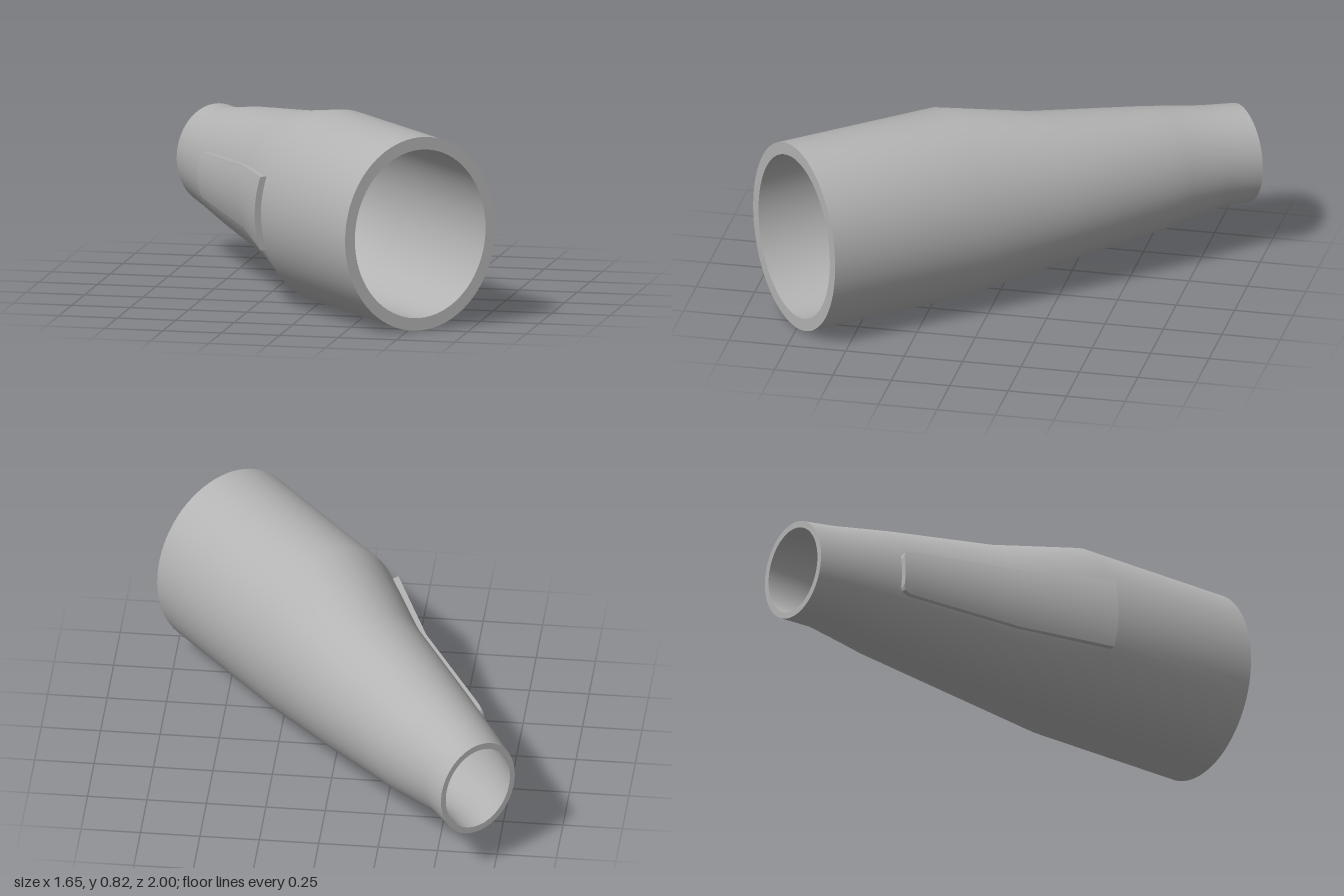
import * as THREE from 'three';
import { toCreasedNormals } from 'three/addons/utils/BufferGeometryUtils.js';

// Tube sections, back to front: [z, sideways centre, half width, half height]
const SECTIONS = [
  [-2.05, 0.147, 0.188, 0.215],
  [-1.905, 0.120, 0.196, 0.224],
  [-1.72, 0.109, 0.222, 0.256],
  [-1.63, 0.105, 0.237, 0.271],
  [-1.13, 0.066, 0.294, 0.338],
  [-0.734, 0, 0.358, 0.411],
  [0, 0, 0.358, 0.411],
];
const BORE = 0.87; // bore size relative to the outside

// Section of the tube at any z, by straight interpolation
function sectionAt(z) {
  let i = 0;
  while (i < SECTIONS.length - 2 && z > SECTIONS[i + 1][0]) i++;
  const a = SECTIONS[i], b = SECTIONS[i + 1];
  const t = (z - a[0]) / (b[0] - a[0]);
  return a.map((v, k) => v + (b[k] - v) * t);
}

// Skins rings of equal point count; joins the ends in a loop or caps them
function loft(rings, loop) {
  const n = rings[0].length, rows = rings.length;
  const index = [];
  const quad = (a, b, c, d) => index.push(a, b, c, a, c, d);
  for (let i = 0; i < (loop ? rows : rows - 1); i++) {
    const p = i * n, q = ((i + 1) % rows) * n;
    for (let j = 0; j < n; j++) {
      const k = (j + 1) % n;
      quad(p + j, p + k, q + k, q + j);
    }
  }
  if (!loop) {
    const e = (rows - 1) * n;
    for (let k = 0; k < n / 2 - 1; k++) {
      const r = n - 1 - k;
      quad(e + k, e + k + 1, e + r - 1, e + r);
      quad(r, r - 1, k + 1, k);
    }
  }
  const geometry = new THREE.BufferGeometry();
  geometry.setAttribute('position', new THREE.Float32BufferAttribute(rings.flat(2), 3));
  geometry.setIndex(index);
  return toCreasedNormals(geometry, 0.6);
}

// Oval ring of one tube section
function oval([z, c, rx, ry], scale) {
  return Array.from({ length: 72 }, (_, j) => {
    const a = (j / 72) * Math.PI * 2;
    return [c + Math.cos(a) * rx * scale, Math.sin(a) * ry * scale, z];
  });
}

// Curved bar across the tube's side: outer face down, inner face back up
function plateRing([z, half, lift]) {
  const [, c, rx, ry] = sectionAt(z);
  const count = 13;
  const face = (offset) => Array.from({ length: count }, (_, k) => {
    const y = half * (1 - (2 * k) / (count - 1));
    return [c - rx * Math.sqrt(1 - (y / ry) ** 2) - offset, y, z];
  });
  return [...face(lift), ...face(-0.01).reverse()];
}

export function createModel() {
  const grey = new THREE.MeshStandardMaterial({ color: 0xb4b4b4 });
  grey.name = 'grey';

  const model = new THREE.Group();
  model.name = 'taperedTube';
  const add = (name, geometry) => {
    const mesh = new THREE.Mesh(geometry, grey);
    mesh.name = name;
    model.add(mesh);
  };

  // Hollow tube: outside forward, front rim, bore backward, back rim
  const outside = SECTIONS.map((s) => oval(s, 1));
  const bore = SECTIONS.map((s) => oval(s, BORE)).reverse();
  add('tube', loft([...outside, ...bore], true));

  // Raised side plate with a rounded narrow end: [z, half height, lift]
  const plate = [
    [-1.68, 0.07, 0.024],
    [-1.672, 0.085, 0.024],
    [-1.65, 0.096, 0.024],
    [-1.63, 0.099, 0.024],
    [-1.13, 0.131, 0.022],
    [-0.734, 0.156, 0.03],
  ];
  add('sidePlate', loft(plate.map(plateRing), false));

  // Turn the tube diagonally on the ground
  model.rotation.y = 0.7154;
  model.position.set(0.55, 0.411, 0.765);
  const root = new THREE.Group();
  root.name = 'model';
  root.add(model);
  return root;
}
